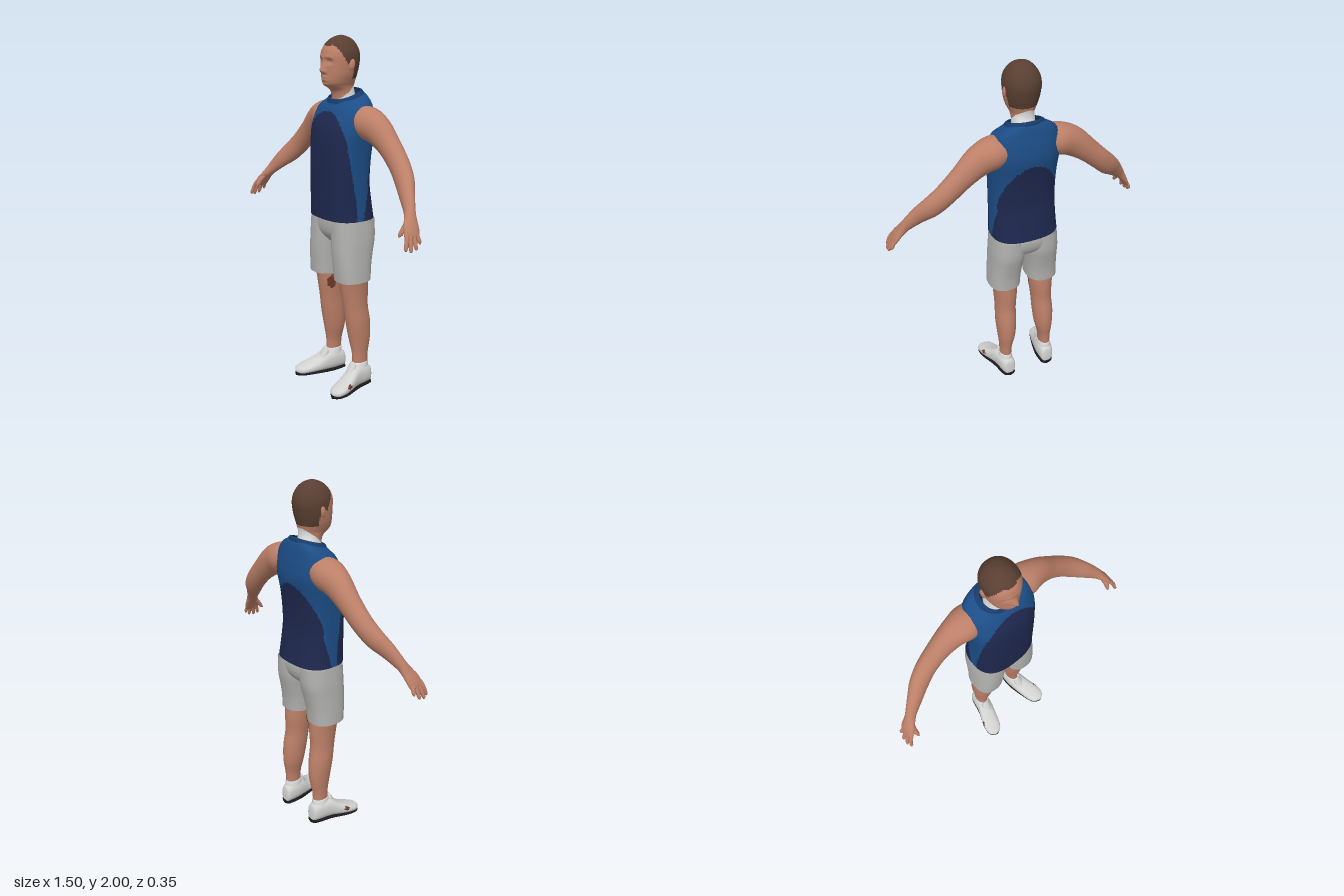
import * as THREE from 'three';

const mat = (name, color, side = THREE.FrontSide) => {
  const m = new THREE.MeshStandardMaterial({ color, side });
  m.name = name;
  return m;
};
const M = {
  skin: mat('skin', 0xbd8068),
  hair: mat('hair', 0x5a3f32),
  navy: mat('navy cloth', 0x1e284e, THREE.DoubleSide),
  blue: mat('blue cloth', 0x1c4d86, THREE.DoubleSide),
  trim: mat('collar blue', 0x173c6b, THREE.DoubleSide),
  shorts: mat('grey cloth', 0xb2b3b0, THREE.DoubleSide),
  shoe: mat('shoe white', 0xd2d3d1),
  sole: mat('sole black', 0x1a1a1c),
  white: mat('white cloth', 0xf4f4f4),
  mark: mat('dark mark', 0x6e3c2c),
};

// Smooth interpolation through a list of equally long cross-section records
function sample(secs, t) {
  const f = t * (secs.length - 1), i = Math.min(Math.floor(f), secs.length - 2), u = f - i;
  const a = secs[Math.max(i - 1, 0)], b = secs[i], c = secs[i + 1], d = secs[Math.min(i + 2, secs.length - 1)];
  return b.map((v, k) => v + 0.5 * u * (c[k] - a[k]
    + u * (2 * a[k] - 5 * v + 4 * c[k] - d[k] + u * (3 * (v - c[k]) + d[k] - a[k]))));
}

// Skin a surface over cross-sections; classify(x,y,z) picks a material index per face
function loft(name, secs, place, { rings = 32, segs = 32, mats = [M.skin], classify = () => 0, caps = true, s = 1 } = {}) {
  const pts = [], lists = mats.map(() => []);
  for (let i = 0; i <= rings; i++) {
    for (let j = 0; j < segs; j++) pts.push(place(secs, i / rings, j / segs * Math.PI * 2));
  }
  const mean = (start) => {
    const c = new THREE.Vector3();
    for (let j = 0; j < segs; j++) c.add(pts[start + j]);
    return c.divideScalar(segs);
  };
  const face = (a, b, c) => {
    const m = pts[a].clone().add(pts[b]).add(pts[c]).divideScalar(3);
    lists[classify(m.x, m.y, m.z)].push(...(s > 0 ? [a, b, c] : [a, c, b]));
  };
  for (let i = 0; i < rings; i++) {
    for (let j = 0; j < segs; j++) {
      const k = (j + 1) % segs, a = i * segs + j, b = i * segs + k;
      face(a, a + segs, b + segs);
      face(a, b + segs, b);
    }
  }
  if (caps) {
    const top = rings * segs, c0 = pts.push(mean(0)) - 1, c1 = pts.push(mean(top)) - 1;
    for (let j = 0; j < segs; j++) {
      const k = (j + 1) % segs;
      face(c0, j, k);
      face(c1, top + k, top + j);
    }
  }
  const g = new THREE.BufferGeometry();
  g.setAttribute('position', new THREE.Float32BufferAttribute(pts.flatMap((p) => [p.x * s, p.y, p.z]), 3));
  g.setIndex(lists.flat());
  if (mats.length > 1) {
    let start = 0;
    lists.forEach((l, i) => { g.addGroup(start, l.length, i); start += l.length; });
  }
  g.computeVertexNormals();
  const mesh = new THREE.Mesh(g, mats.length > 1 ? mats : mats[0]);
  mesh.name = name;
  return mesh;
}

const pow = (v, p) => Math.sign(v) * Math.pow(Math.abs(v), 2 / p);

// Upright section: [y, centre x, half width, front z, back z, tilt]; tilt may be left out of a whole list
const upright = (p) => (secs, t, a) => {
  const [y, cx, w, zf, zb, tilt = 0] = sample(secs, t);
  const z = (zf + zb) / 2 + (zf - zb) / 2 * pow(Math.sin(a), p);
  return new THREE.Vector3(cx + w * pow(Math.cos(a), p), y - tilt * (z + 0.06), z);
};

// Limb section: [x, y, z, radius in the frontal plane, radius across it]
const limb = (secs, t, a) => {
  const [x, y, z, rn, rb] = sample(secs, t);
  const p = sample(secs, Math.max(t - 0.02, 0)), q = sample(secs, Math.min(t + 0.02, 1));
  const T = new THREE.Vector3(q[0] - p[0], q[1] - p[1], q[2] - p[2]).normalize();
  const N = new THREE.Vector3(-T.y, T.x, 0).normalize(), B = N.clone().cross(T);
  return new THREE.Vector3(x, y, z).addScaledVector(N, rn * Math.cos(a)).addScaledVector(B, rb * Math.sin(a));
};

// Shoe section: [z, centre x, half width, bottom y, top y]
const shoe = (secs, t, a) => {
  const [z, cx, w, lo, hi] = sample(secs, t);
  return new THREE.Vector3(cx + w * pow(Math.cos(a), 2.4), (lo + hi) / 2 - (hi - lo) / 2 * pow(Math.sin(a), 2.4), z);
};

// Head surface with nose, brow, eye sockets and lips pushed in or out
const bell = (v, w) => Math.exp(-(v * v) / (w * w));
const headPlace = (secs, t, a) => {
  const v = upright(2.15)(secs, t, a);
  if (v.z > 0.02) {
    const ax = Math.abs(v.x), y = v.y;
    v.z += 0.03 * bell(ax, 0.014) * bell(y - 1.82, y > 1.82 ? 0.034 : 0.014)
      + 0.008 * bell(ax - 0.012, 0.009) * bell(y - 1.812, 0.01)
      - 0.013 * bell(ax - 0.036, 0.019) * bell(y - 1.866, 0.014)
      + 0.005 * bell(ax - 0.03, 0.03) * bell(y - 1.889, 0.01)
      + 0.009 * bell(ax, 0.024) * (bell(y - 1.785, 0.007) + bell(y - 1.769, 0.007))
      + 0.006 * bell(ax, 0.025) * bell(y - 1.742, 0.012);
  }
  return v;
};

function headColour(x, y, z) {
  if (y < 1.755 - 0.8 * (z + 0.09)) return 2;
  const line = z < -0.035 ? 1.775 : z < 0.01 ? 1.855 : 1.86 + (z - 0.01) * 1.7;
  return y > (Math.abs(x) < 0.03 && z > 0 ? 1.945 : line) ? 1 : 0;
}

// Navy front and back panels with arched tops on a blue shirt
function shirtColour(x, y, z) {
  const arch = (w, y0, h) => y < y0 + h && Math.abs(x) < w * Math.sqrt(1 - ((y - y0) / h) ** 2);
  if (z > -0.02) return (y > 1.4 ? arch(0.17, 1.4, 0.2) : z > 0.01 + Math.max(0, y - 1.1) * 0.167) ? 1 : 0;
  return (y > 1.2 ? arch(0.172, 1.2, 0.27) : z < -0.03 - (y - 1.01) * 0.26) ? 1 : 0;
}

export function createModel() {
  const root = new THREE.Group();
  root.name = 'man';

  root.add(loft('head', [
    [1.6, 0, 0.066, 0.03, -0.11], [1.67, 0, 0.061, 0.03, -0.1], [1.71, 0, 0.06, 0.042, -0.092],
    [1.735, 0, 0.064, 0.077, -0.092], [1.755, 0, 0.073, 0.092, -0.095], [1.79, 0, 0.086, 0.094, -0.103],
    [1.83, 0, 0.094, 0.094, -0.113], [1.88, 0, 0.098, 0.096, -0.12], [1.92, 0, 0.093, 0.09, -0.115],
    [1.955, 0, 0.075, 0.07, -0.098], [1.98, 0, 0.052, 0.042, -0.074], [1.995, 0, 0.024, 0.01, -0.042],
    [2, 0, 0.002, -0.014, -0.018],
  ], headPlace, { rings: 84, segs: 64, mats: [M.skin, M.hair, M.white], classify: headColour }));

  // Sleeveless shirt and collar
  root.add(loft('shirt', [
    [1.01, 0, 0.19, 0.12, -0.17, 0], [1.1, 0, 0.185, 0.122, -0.156, 0], [1.2, 0, 0.183, 0.123, -0.142, 0],
    [1.3, 0, 0.184, 0.123, -0.144, 0], [1.4, 0, 0.188, 0.12, -0.154, 0], [1.5, 0, 0.195, 0.108, -0.17, 0],
    [1.57, 0, 0.192, 0.084, -0.165, 0.03], [1.63, 0, 0.174, 0.06, -0.152, 0.14],
    [1.663, 0, 0.135, 0.045, -0.142, 0.26], [1.685, 0, 0.09, 0.037, -0.131, 0.3],
  ], upright(2.6), { rings: 72, segs: 96, mats: [M.blue, M.navy], classify: shirtColour, caps: false }));
  root.add(loft('collar', [
    [1.672, 0, 0.112, 0.045, -0.138, 0.3], [1.69, 0, 0.098, 0.041, -0.133, 0.3], [1.695, 0, 0.084, 0.035, -0.125, 0.32],
  ], upright(2.3), { rings: 6, segs: 48, mats: [M.trim], caps: false }));

  root.add(loft('shortsSeat', [
    [0.865, 0, 0.08, 0.045, -0.09], [0.92, 0, 0.175, 0.09, -0.145], [1, 0, 0.187, 0.1, -0.158], [1.08, 0, 0.17, 0.09, -0.125],
  ], upright(2.5), { rings: 12, segs: 40, mats: [M.shorts] }));

  for (const s of [1, -1]) {
    const side = s > 0 ? 'left' : 'right';
    const add = (part, secs, place, opts) => root.add(loft(side + part, secs, place, { ...opts, s }));

    const ear = new THREE.Mesh(new THREE.SphereGeometry(1, 16, 12), M.skin);
    ear.name = side + 'Ear';
    ear.scale.set(0.01, 0.03, 0.018);
    ear.position.set(s * 0.097, 1.85, -0.018);
    ear.rotation.set(-0.2, s * -0.25, 0);
    root.add(ear);

    // Arm, palm, fingers and thumb
    add('Arm', [
      [0.12, 1.562, -0.06, 0.076, 0.08], [0.19, 1.547, -0.06, 0.088, 0.09], [0.27, 1.515, -0.064, 0.083, 0.072],
      [0.36, 1.445, -0.066, 0.067, 0.058], [0.45, 1.362, -0.058, 0.061, 0.052], [0.52, 1.295, -0.035, 0.059, 0.047],
      [0.58, 1.24, 0, 0.049, 0.037], [0.642, 1.175, 0.035, 0.033, 0.029], [0.67, 1.14, 0.052, 0.024, 0.036],
      [0.695, 1.105, 0.067, 0.019, 0.045], [0.715, 1.07, 0.079, 0.014, 0.043], [0.719, 1.062, 0.081, 0.006, 0.03],
    ], limb, { rings: 44, segs: 24 });
    const tips = [[0.735, 1.03, 0.045], [0.744, 1.006, 0.075], [0.744, 1, 0.107], [0.735, 1.008, 0.132]];
    tips.forEach(([x, y, z], i) => {
      const bz = 0.05 + i * 0.02;
      add('Finger' + (i + 1), [
        [0.704, 1.09, bz, 0.011, 0.011], [0.722, 1.062, bz * 0.65 + z * 0.35, 0.0115, 0.0115],
        [x - 0.003, y + 0.012, z, 0.0095, 0.0095], [x, y, z, 0.003, 0.003],
      ], limb, { rings: 9, segs: 8 });
    });
    add('Thumb', [
      [0.67, 1.135, 0.068, 0.014, 0.014], [0.677, 1.105, 0.1, 0.015, 0.014],
      [0.675, 1.078, 0.12, 0.011, 0.011], [0.672, 1.065, 0.13, 0.003, 0.003],
    ], limb, { rings: 9, segs: 8 });

    // Shorts leg, bare leg and sock
    add('ShortsLeg', [
      [0.66, 0.116, 0.09, 0.09, -0.115], [0.74, 0.112, 0.091, 0.096, -0.122], [0.82, 0.106, 0.093, 0.1, -0.138],
      [0.9, 0.1, 0.096, 0.1, -0.155], [1, 0.095, 0.092, 0.098, -0.158],
    ], upright(2.4), { rings: 16, segs: 40, mats: [M.shorts], caps: false });
    add('Leg', [
      [0.1, 0.13, 0.034, -0.01, -0.108], [0.2, 0.128, 0.036, -0.01, -0.112], [0.3, 0.122, 0.052, 0.008, -0.128],
      [0.4, 0.12, 0.06, 0.026, -0.126], [0.5, 0.116, 0.06, 0.04, -0.112], [0.6, 0.113, 0.067, 0.056, -0.114],
      [0.7, 0.115, 0.075, 0.068, -0.11], [0.78, 0.11, 0.08, 0.07, -0.11],
    ], upright(2), {
      rings: 49, segs: 32, mats: [M.skin, M.mark],
      classify: (x, y, z) => (x < 0.07 && Math.hypot((y - 0.6) / 0.04, (z - 0.005) / 0.024) < 1 ? 1 : 0),
    });
    add('Sock', [
      [0.09, 0.13, 0.04, -0.002, -0.112], [0.148, 0.129, 0.038, -0.005, -0.113], [0.15, 0.129, 0.034, -0.01, -0.108],
    ], upright(2), { rings: 6, segs: 24, mats: [M.white] });

    // Shoe with toe turned out, side mark, tongue and sole
    const foot = [
      [-0.13, 0.126, 0.012, 0.025, 0.06], [-0.122, 0.127, 0.034, 0.012, 0.11], [-0.09, 0.13, 0.044, 0.01, 0.128],
      [-0.04, 0.134, 0.049, 0.01, 0.136], [0, 0.142, 0.051, 0.01, 0.128], [0.04, 0.154, 0.054, 0.01, 0.1],
      [0.085, 0.168, 0.056, 0.01, 0.076], [0.13, 0.178, 0.052, 0.01, 0.06], [0.16, 0.182, 0.038, 0.011, 0.05],
      [0.177, 0.184, 0.01, 0.02, 0.034],
    ];
    add('Shoe', foot, shoe, {
      rings: 45, segs: 32, mats: [M.shoe, M.mark],
      classify: (x, y, z) => (x > 0.19 && Math.abs(z - 0.075) + Math.abs(y - 0.055) < 0.018 ? 1 : 0),
    });
    add('Tongue', [
      [0.09, 0.138, 0.032, 0.045, -0.03], [0.135, 0.135, 0.026, 0.016, -0.02], [0.156, 0.133, 0.014, 0.004, -0.012],
    ], upright(2), { rings: 8, segs: 20, mats: [M.shoe] });
    add('Sole', foot.map(([z, x, w]) => [z, x, w * 0.97, 0, 0.024]), shoe, { rings: 27, segs: 24, mats: [M.sole] });
  }
  return root;
}
